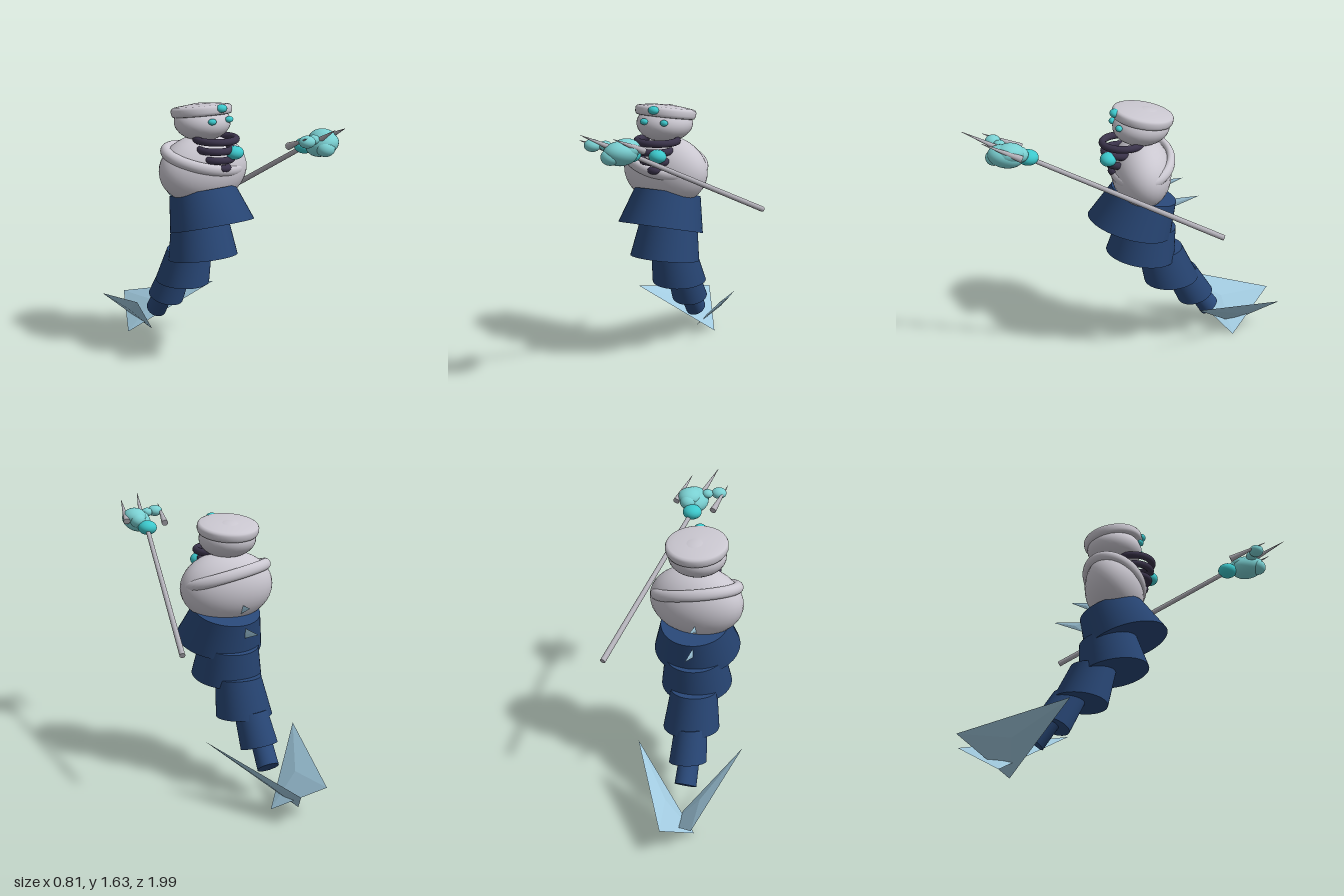
import * as THREE from 'three';

const mat = (name, color, side = THREE.FrontSide) => {
  const m = new THREE.MeshStandardMaterial({ color, side });
  m.name = name;
  return m;
};
const V = (p) => new THREE.Vector3(...p);

export function createModel() {
  const model = new THREE.Group();
  const grey = mat('pale grey', 0xcac7d0);
  const steel = mat('steel grey', 0xb2b0b8);
  const navy = mat('navy', 0x294878);
  const plum = mat('dark plum', 0x3a334a);
  const teal = mat('bright teal', 0x3cc8cc);
  const aqua = mat('soft aqua', 0x7ad0d2);
  const finBlue = mat('fin blue', 0xa2cbe0, THREE.DoubleSide);

  const add = (name, geometry, material, pos = [0, 0, 0], rot = [0, 0, 0]) => {
    const mesh = new THREE.Mesh(geometry, material);
    mesh.name = name;
    mesh.position.set(...pos);
    mesh.rotation.set(...rot);
    model.add(mesh);
    return mesh;
  };
  // ellipsoid from centre and three radii
  const blob = (name, material, pos, radii, rot) => {
    const mesh = add(name, new THREE.SphereGeometry(1, 32, 20), material, pos, rot);
    mesh.scale.set(...radii);
    return mesh;
  };
  // tapered rod between two points
  const rod = (name, material, from, to, r0, r1) => {
    const a = V(from), b = V(to), dir = b.clone().sub(a);
    const mesh = add(name, new THREE.CylinderGeometry(r1, r0, dir.length(), 20), material,
      a.clone().add(b).multiplyScalar(0.5).toArray());
    mesh.quaternion.setFromUnitVectors(new THREE.Vector3(0, 1, 0), dir.normalize());
    return mesh;
  };

  // torso with a slanted shawl roll
  blob('torso', grey, [-0.04, 1.22, -0.075], [0.29, 0.215, 0.182]);
  const shawl = add('shawlRoll', new THREE.TorusGeometry(1, 0.14, 20, 64).rotateX(Math.PI / 2), grey,
    [-0.04, 1.285, -0.075], [0.25, 0, -0.2]);
  shawl.scale.set(0.25, 0.25, 0.18);

  // head and tilted cap
  blob('head', grey, [-0.045, 1.51, -0.075], [0.172, 0.112, 0.172]);
  const capProfile = [[0, -0.03], [0.165, -0.03], [0.178, -0.026], [0.185, -0.012], [0.186, 0.012],
    [0.18, 0.024], [0.168, 0.03], [0.13, 0.036], [0.07, 0.043], [0, 0.046]];
  add('cap', new THREE.LatheGeometry(capProfile.map((p) => new THREE.Vector2(...p)), 48), grey,
    [-0.045, 1.575, -0.085], [-0.17, 0, 0]);
  blob('browGem', teal, [-0.005, 1.612, 0.088], [0.035, 0.025, 0.03]);
  blob('rightEye', teal, [-0.072, 1.538, 0.095], [0.026, 0.019, 0.02]);
  blob('leftEye', teal, [0.058, 1.538, 0.07], [0.026, 0.019, 0.02]);

  // stacked collar rings and pendant
  [[-0.015, 1.422, 0.04, 0.12], [-0.025, 1.364, 0.05, 0.1], [-0.01, 1.305, 0.05, 0.085], [0.005, 1.25, 0.075, 0.035]]
    .forEach(([x, y, z, r]) => add('collarRing',
      new THREE.TorusGeometry(r, 0.022, 16, 48).rotateX(Math.PI / 2), plum, [x, y, z]));
  blob('pendantGem', teal, [0.06, 1.347, 0.135], [0.055, 0.041, 0.05]);

  // overlapping tail segments: top centre, bottom centre, radii, pitch, roll
  [
    [[-0.035, 1.078, -0.092], [-0.02, 0.874, 0.0], 0.205, 0.262, -0.28, 0.04],
    [[-0.043, 0.872, -0.113], [-0.043, 0.662, -0.073], 0.18, 0.215, -0.165, 0.02],
    [[-0.07, 0.68, -0.2], [-0.08, 0.463, -0.276], 0.14, 0.17, 0.08, -0.02],
    [[-0.1, 0.49, -0.34], [-0.115, 0.313, -0.438], 0.1, 0.113, 0.3, -0.12],
    [[-0.125, 0.36, -0.43], [-0.135, 0.205, -0.535], 0.062, 0.066, 0.7, -0.05],
  ].forEach(([top, bottom, rTop, rBottom, pitch, roll]) => {
    const geo = new THREE.CylinderGeometry(rTop, rBottom, 1, 48);
    const a = V(top), b = V(bottom), mid = a.clone().add(b).multiplyScalar(0.5);
    const turn = new THREE.Quaternion().setFromEuler(new THREE.Euler(pitch, 0, roll));
    const up = new THREE.Vector3(0, 1, 0).applyQuaternion(turn);
    // each ring keeps its tilt and slides along to its own centre
    const pos = geo.attributes.position, p = new THREE.Vector3();
    for (let i = 0; i < pos.count; i++) {
      p.fromBufferAttribute(pos, i);
      const centre = p.y > 0 ? a : b;
      p.y = 0;
      p.applyQuaternion(turn).add(centre).sub(mid);
      pos.setXYZ(i, p.x, p.y, p.z);
    }
    // turn the normals with the segment
    const nor = geo.attributes.normal;
    for (let i = 0; i < nor.count; i++) {
      p.fromBufferAttribute(nor, i).applyQuaternion(turn);
      nor.setXYZ(i, p.x, p.y, p.z);
    }
    add('tailSegment', geo, navy, mid.toArray()).userData.up = up.toArray();
  });

  // thin triangular fins with a slight swell in the middle
  const fin = (name, A, B, C, swell) => {
    const a = V(A), b = V(B), c = V(C);
    const n = b.clone().sub(a).cross(c.clone().sub(a)).normalize().multiplyScalar(swell);
    const m = a.clone().add(b).add(c).divideScalar(3);
    const up = m.clone().add(n), down = m.clone().sub(n);
    const pts = [a, b, up, b, c, up, c, a, up, b, a, down, c, b, down, a, c, down];
    const geo = new THREE.BufferGeometry().setFromPoints(pts);
    geo.computeVertexNormals();
    add(name, geo, finBlue);
  };
  fin('rightTailFin', [-0.405, 0.365, -0.27], [-0.323, 0.215, -0.96], [-0.09, 0.005, -0.69], 0.012);
  fin('leftTailFin', [0.218, 0.37, -0.405], [-0.145, 0.195, -1.0], [-0.255, 0.005, -0.715], 0.012);
  fin('upperBackFin', [-0.09, 1.137, -0.34], [-0.085, 1.13, -0.2], [-0.085, 1.07, -0.2], 0.004);
  fin('lowerBackFin', [-0.1, 1.005, -0.445], [-0.085, 1.0, -0.25], [-0.085, 0.93, -0.25], 0.004);

  // staff with orb, clustered head and three prongs
  rod('staff', steel, [0.39, 0.95, -0.51], [0.24, 1.455, 0.61], 0.017, 0.014);
  blob('staffOrb', teal, [0.237, 1.46, 0.615], [0.06, 0.045, 0.06]);
  blob('staffHead', aqua, [0.27, 1.488, 0.745], [0.092, 0.068, 0.105], [-0.2, 0, 0.25]);
  blob('staffKnob', aqua, [0.29, 1.515, 0.72], [0.075, 0.055, 0.085]);
  blob('staffKnob', aqua, [0.285, 1.5, 0.665], [0.05, 0.045, 0.05]);
  blob('staffKnob', aqua, [0.25, 1.475, 0.81], [0.055, 0.045, 0.05]);
  blob('staffKnuckle', aqua, [0.19, 1.527, 0.775], [0.035, 0.028, 0.035]);
  blob('staffThumb', aqua, [0.125, 1.527, 0.81], [0.048, 0.035, 0.045]);
  rod('prong', steel, [0.11, 1.475, 0.645], [0.085, 1.56, 0.87], 0.021, 0.001);
  rod('prong', steel, [0.24, 1.495, 0.72], [0.19, 1.617, 0.985], 0.021, 0.001);
  rod('prong', steel, [0.36, 1.5, 0.655], [0.33, 1.595, 0.88], 0.021, 0.001);

  return model;
}
